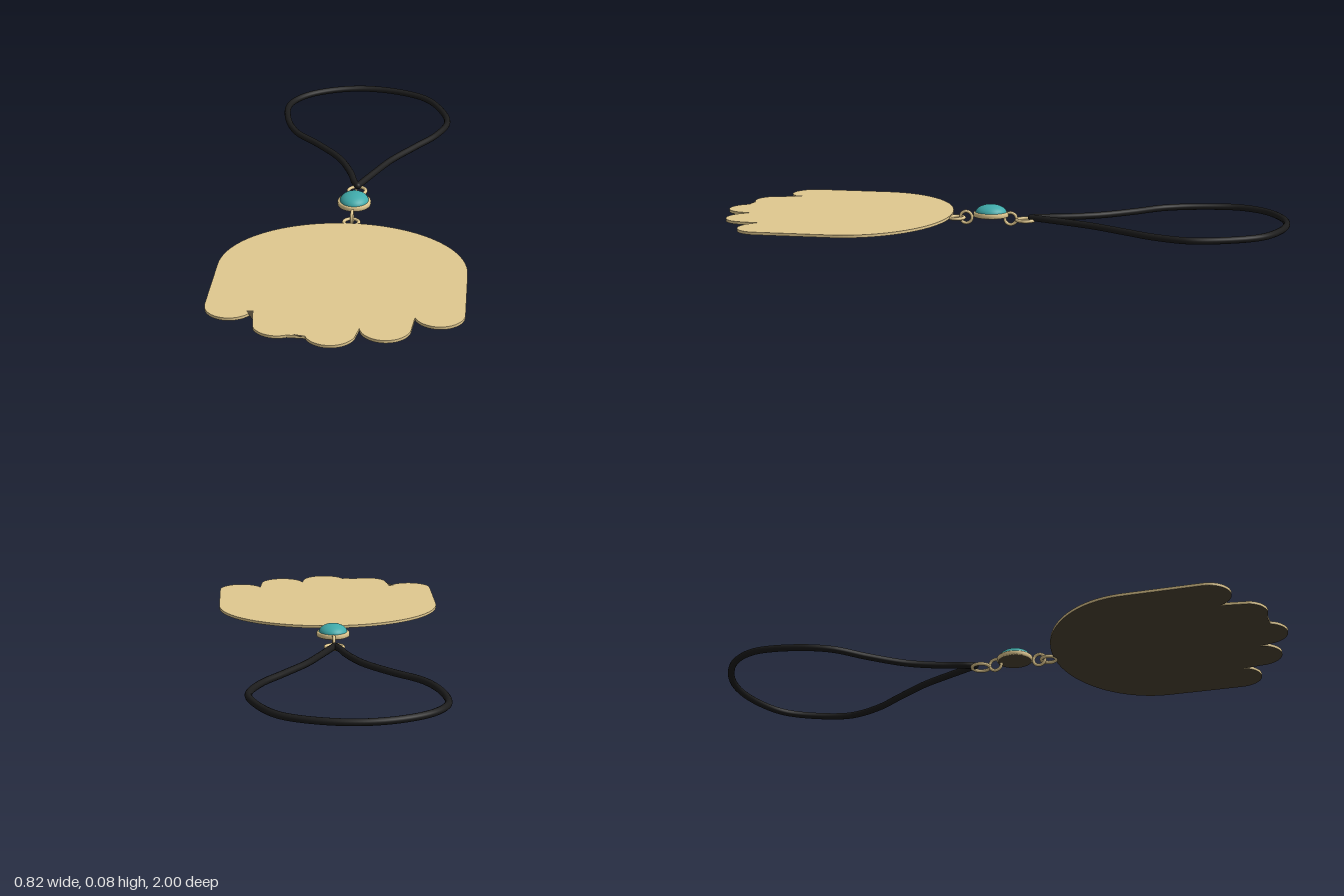
import * as THREE from 'three';

const mat = (name, color) => {
  const m = new THREE.MeshStandardMaterial({ color });
  m.name = name;
  return m;
};

export function createModel() {
  const group = new THREE.Group();
  const gold = mat('pale gold', 0xe1c990);
  const backing = mat('dark bronze backing', 0x4e4534);
  const turquoise = mat('turquoise', 0x40abab);
  const black = mat('black cord', 0x1c1c1c);
  const add = (name, geometry, material, x = 0, y = 0, z = 0) => {
    const mesh = new THREE.Mesh(geometry, material);
    mesh.name = name;
    mesh.position.set(x, y, z);
    group.add(mesh);
    return mesh;
  };

  // Pendant plate: arched back edge, five scallops along the front
  const P = Math.PI;
  const outline = new THREE.Shape();
  outline.moveTo(-0.41, 0.515);
  outline.absellipse(0, 0.515, 0.41, 0.33, P, 2 * P, false);
  const lobes = [
    [0.33, 0.778, 0, 0.88],
    [0.167, 0.873, 0.05, 0.94],
    [0, 0.916, 0.1, 0.87],
    [-0.167, 0.873, 0.36, 0.87],
    [-0.33, 0.778, 0.12, 1],
  ];
  for (const [x, z, from, to] of lobes) outline.absarc(x, z, 0.081, from * P, to * P, false);
  outline.closePath();
  const plate = new THREE.ExtrudeGeometry(outline, { depth: 0.0095, bevelEnabled: false, curveSegments: 32 });
  plate.rotateX(P / 2);
  add('pendantPlate', plate, gold, 0, 0.0345, 0);

  // Dark underside of the plate
  const underside = new THREE.ShapeGeometry(outline, 32);
  underside.rotateX(P / 2);
  add('plateUnderside', underside, backing, 0, 0.0245, 0);

  // Small dark slivers on top, beside two of the notches
  const slivers = [
    [[-0.275, 0.808], [-0.252, 0.806], [-0.246, 0.868]],
    [[-0.118, 0.938], [-0.078, 0.946], [-0.088, 0.954]],
  ];
  for (const points of slivers) {
    const sliver = new THREE.ShapeGeometry(new THREE.Shape(points.map(([x, z]) => new THREE.Vector2(x, -z))));
    sliver.rotateX(-P / 2);
    add('notchSliver', sliver, backing, 0, 0.035, 0);
  }

  // Flat end rings and the upright links joining them to the bead
  const ring = (name, radius, tube, y, z, flat) => {
    const geometry = new THREE.TorusGeometry(radius, tube, 10, 36);
    if (flat) geometry.rotateX(P / 2);
    else geometry.rotateY(P / 2);
    add(name, geometry, gold, 0, y, z);
  };
  ring('cordRing', 0.031, 0.006, 0.027, -0.083, true);
  ring('plateRing', 0.026, 0.006, 0.027, 0.163, true);
  ring('backLink', 0.021, 0.0055, 0.03, -0.03, false);
  ring('frontLink', 0.021, 0.0055, 0.03, 0.129, false);

  // Oval bead setting with a dark base, and domed stone
  const setting = new THREE.LatheGeometry(
    [[0, 0.035], [0.054, 0.035], [0.058, 0.037], [0.058, 0.049], [0.054, 0.052], [0.048, 0.052]]
      .map(([r, y]) => new THREE.Vector2(r, y)), 40);
  setting.scale(1, 1, 1.08);
  add('beadSetting', setting, gold, 0, 0, 0.04);
  const base = new THREE.CircleGeometry(0.055, 40);
  base.rotateX(P / 2);
  base.scale(1, 1, 1.08);
  add('beadBase', base, backing, 0, 0.0345, 0.04);
  const dome = new THREE.SphereGeometry(1, 40, 14, 0, 2 * P, 0, P / 2);
  dome.scale(0.051, 0.031, 0.056);
  add('beadStone', dome, turquoise, 0, 0.048, 0.04);

  // Hand-laid cord loop
  const path = [
    [0, -0.104], [-0.014, -0.135], [-0.034, -0.21], [-0.085, -0.328], [-0.175, -0.444], [-0.267, -0.545],
    [-0.315, -0.67], [-0.322, -0.81], [-0.268, -0.9], [-0.165, -0.963], [-0.045, -0.988],
    [0.085, -0.968], [0.2, -0.908], [0.268, -0.8], [0.297, -0.68], [0.258, -0.56],
    [0.184, -0.448], [0.105, -0.328], [0.048, -0.21], [0.014, -0.135], [0, -0.104],
  ].map(([x, z]) => new THREE.Vector3(x, 0.036, z));
  const curve = new THREE.CatmullRomCurve3(path);
  add('cordLoop', new THREE.TubeGeometry(curve, 160, 0.0118, 12), black);
  add('cordKnot', new THREE.SphereGeometry(0.0118, 16, 10), black, 0, 0.036, -0.104);

  return group;
}
